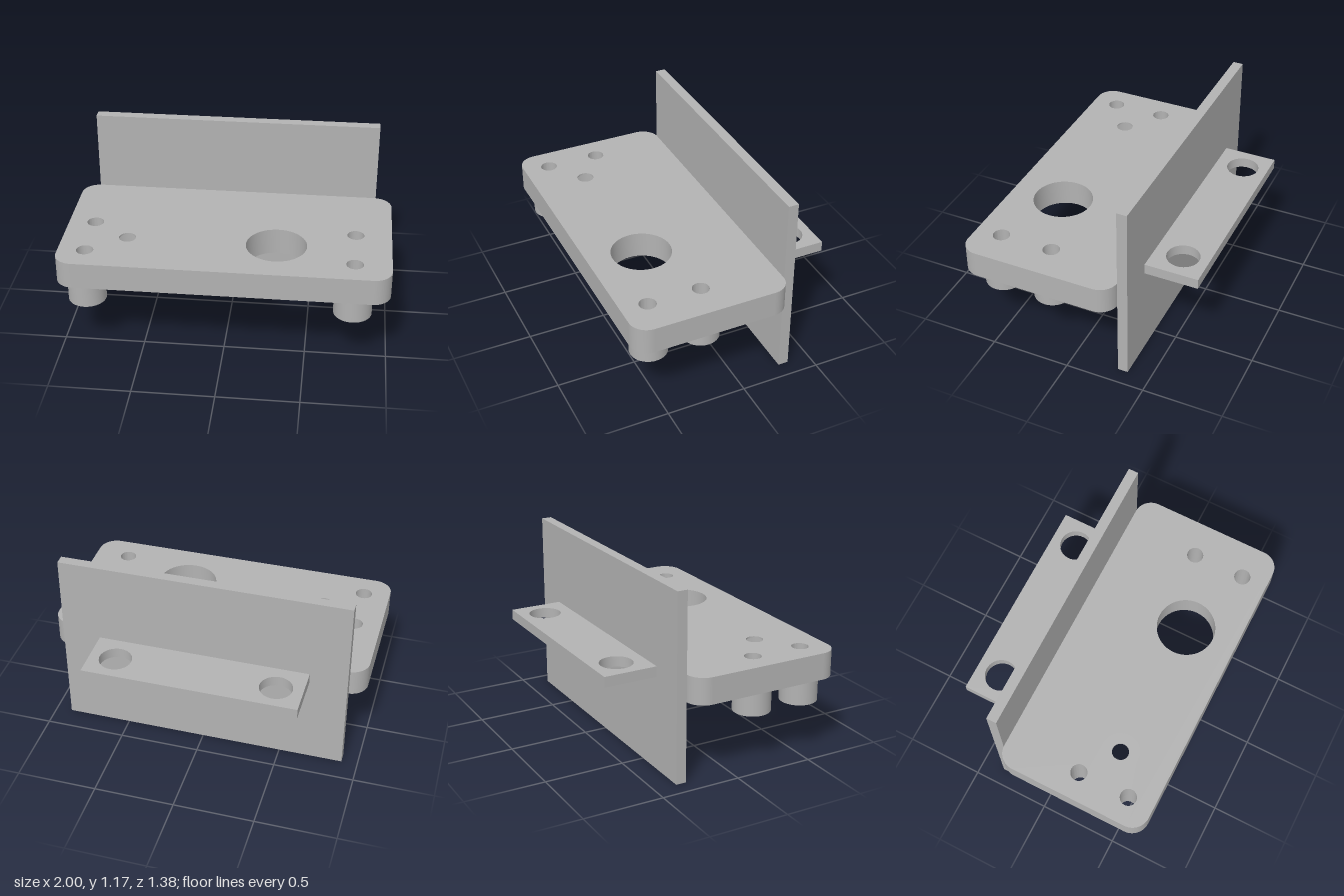
import * as THREE from 'three';
import { toCreasedNormals } from 'three/addons/utils/BufferGeometryUtils.js';

const metal = new THREE.MeshStandardMaterial({ color: 0xb2b2b2 });
metal.name = 'grey metal';

// Rectangle outline in plan (x, z), with optional corner radius
function rectShape(x0, x1, z0, z1, r = 0) {
  const s = new THREE.Shape();
  if (r === 0) {
    s.moveTo(x0, z0).lineTo(x1, z0).lineTo(x1, z1).lineTo(x0, z1).closePath();
    return s;
  }
  s.moveTo(x0 + r, z0);
  s.absarc(x1 - r, z0 + r, r, -Math.PI / 2, 0);
  s.absarc(x1 - r, z1 - r, r, 0, Math.PI / 2);
  s.absarc(x0 + r, z1 - r, r, Math.PI / 2, Math.PI);
  s.absarc(x0 + r, z0 + r, r, Math.PI, Math.PI * 1.5);
  return s;
}

function discShape(x, z, r) {
  return new THREE.Shape().absarc(x, z, r, 0, Math.PI * 2);
}

// Extrudes a plan shape with round holes [x, z, radius] between two heights
function slab(name, shape, holes, bottom, top) {
  for (const [x, z, r] of holes) {
    shape.holes.push(new THREE.Path().absarc(x, z, r, 0, Math.PI * 2, true));
  }
  const g = new THREE.ExtrudeGeometry(shape, { depth: top - bottom, bevelEnabled: false, curveSegments: 24 });
  g.rotateX(Math.PI / 2);
  g.translate(0, top, 0);
  const mesh = new THREE.Mesh(toCreasedNormals(g, 0.6), metal);
  mesh.name = name;
  return mesh;
}

export function createModel() {
  const model = new THREE.Group();
  model.name = 'mountingBracket';

  const bolt = 0.052;
  const posts = [];
  for (const x of [-0.835, 0.78]) for (const z of [0.19, 0.525]) posts.push([x, z]);
  const recess = [-0.605, 0.355];

  // Rounded base plate with bolt holes, large opening and a recess from below
  const plateHoles = posts.map(([x, z]) => [x, z, bolt]);
  plateHoles.push([0.305, 0.355, 0.185], [...recess, 0.117]);
  model.add(slab('basePlate', rectShape(-1, 1, -0.293, 0.69, 0.11), plateHoles, 0.503, 0.67));

  // Thin skin closing the recess, with its small hole
  model.add(slab('recessCap', discShape(...recess, 0.117), [[...recess, bolt]], 0.66, 0.67));

  // Hollow standoffs under the plate
  for (const [x, z] of posts) {
    model.add(slab('standoff', discShape(x, z, 0.116), [[x, z, bolt]], 0.336, 0.503));
  }

  // Upright back panel
  const panel = new THREE.Mesh(new THREE.BoxGeometry(1.8, 1.17, 0.064), metal);
  panel.name = 'backPanel';
  panel.position.set(0, 0.585, -0.325);
  model.add(panel);

  // Rear tab with two mounting holes
  model.add(slab('rearTab', rectShape(-0.668, 0.662, -0.693, -0.357),
    [[-0.503, -0.533, 0.101], [0.497, -0.533, 0.101]], 0.588, 0.653));

  return model;
}
